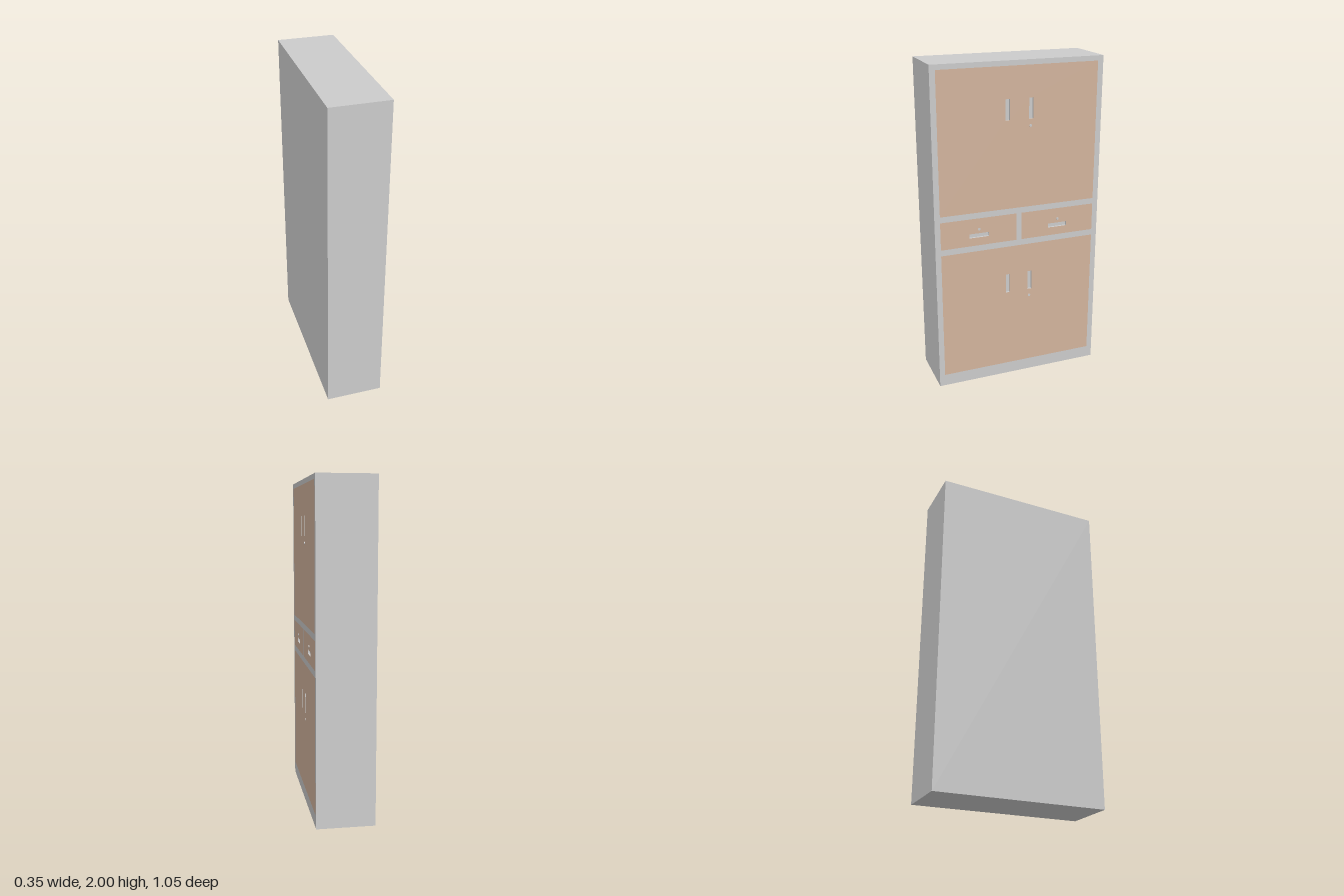
import * as THREE from 'three';

const BACK = -0.176, FRONT = 0.172, HALF_W = 0.527, HEIGHT = 2;
const GRIP_LONG = 0.122, GRIP_SHORT = 0.026, GRIP_DEPTH = 0.013;

const grey = new THREE.MeshStandardMaterial({ color: 0xcccccc });
const wood = new THREE.MeshStandardMaterial({ color: 0xd3b49d });

// Rectangles are [u0, y0, u1, y1] on the door side, where u = -z
function rectangle(Type, [u0, y0, u1, y1]) {
  return new Type([[u0, y0], [u1, y0], [u1, y1], [u0, y1]].map(p => new THREE.Vector2(...p)));
}

// Flat face on the door side with openings
function frontFace(name, outline, openings, material) {
  const shape = rectangle(THREE.Shape, outline);
  shape.holes = openings.map(o => rectangle(THREE.Path, o));
  const geometry = new THREE.ShapeGeometry(shape).rotateY(Math.PI / 2).translate(FRONT, 0, 0);
  const mesh = new THREE.Mesh(geometry, material);
  mesh.name = name;
  return mesh;
}

// Box whose +x side is open; inward turns its faces to the inside
function openBox(name, x0, x1, [u0, y0, u1, y1], inward) {
  const geometry = new THREE.BoxGeometry(x1 - x0, y1 - y0, u1 - u0);
  const index = Array.from(geometry.index.array).slice(6);
  geometry.setIndex(inward ? index.reverse() : index);
  geometry.computeVertexNormals();
  geometry.translate((x0 + x1) / 2, (y0 + y1) / 2, -(u0 + u1) / 2);
  const mesh = new THREE.Mesh(geometry, grey);
  mesh.name = name;
  return mesh;
}

function grip(u, y, upright) {
  const w = (upright ? GRIP_SHORT : GRIP_LONG) / 2, h = (upright ? GRIP_LONG : GRIP_SHORT) / 2;
  return [u - w, y - h, u + w, y + h];
}

export function createModel() {
  const cabinet = new THREE.Group();
  cabinet.name = 'cabinet';

  const panels = [
    { name: 'upperDoors', area: [-0.493, 1.124, 0.493, 1.97],
      grips: [grip(-0.073, 1.722, true), grip(0.073, 1.722, true)], lock: [0.07, 1.62] },
    { name: 'lowerDoors', area: [-0.493, 0.074, 0.493, 0.88],
      grips: [grip(-0.073, 0.635, true), grip(0.073, 0.635, true)], lock: [0.07, 0.531] },
    ...[-1, 1].map(s => ({
      name: s < 0 ? 'leftDrawer' : 'rightDrawer',
      area: s < 0 ? [-0.493, 0.917, -0.016, 1.088] : [0.016, 0.917, 0.493, 1.088],
      grips: [grip(s * 0.254, 0.981, false)], lock: [s * 0.254, 1.02],
    })),
  ];

  // Carcass and face frame
  const outline = [-HALF_W, 0, HALF_W, HEIGHT];
  cabinet.add(openBox('carcass', BACK, FRONT, outline, false));
  cabinet.add(frontFace('faceFrame', outline, panels.map(p => p.area), grey));

  // Flush panels with recessed grips and small round locks
  for (const { name, area, grips, lock } of panels) {
    const group = new THREE.Group();
    group.name = name;
    group.add(frontFace('panel', area, grips, wood));
    for (const g of grips) group.add(openBox('recessedGrip', FRONT - GRIP_DEPTH, FRONT, g, true));
    const knob = new THREE.Mesh(new THREE.CylinderGeometry(0.008, 0.008, 0.008, 16), grey);
    knob.name = 'lock';
    knob.rotation.z = -Math.PI / 2;
    knob.position.set(FRONT, lock[1], -lock[0]);
    group.add(knob);
    cabinet.add(group);
  }
  return cabinet;
}
